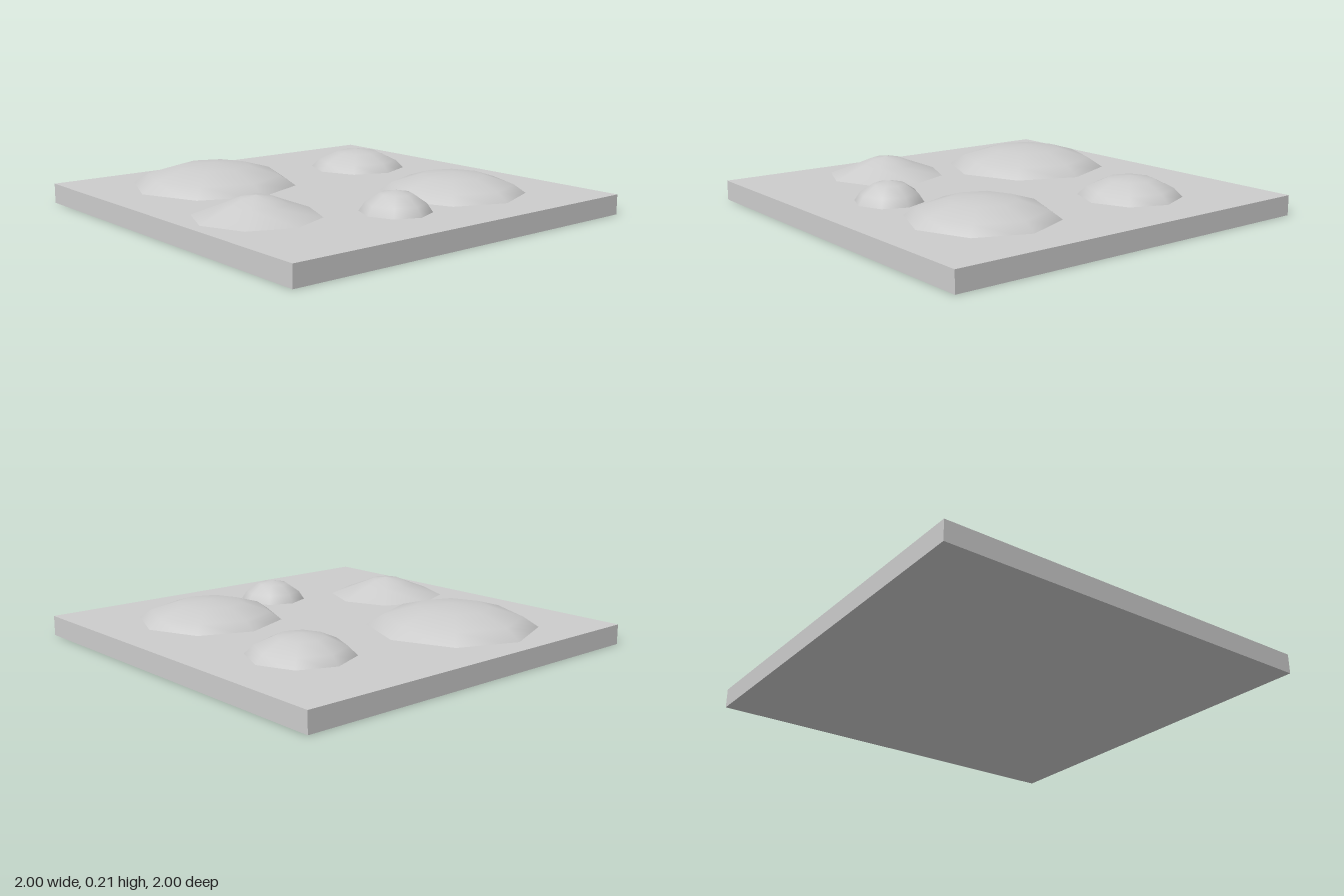
import * as THREE from 'three';

export function createModel() {
  const model = new THREE.Group();
  const stone = new THREE.MeshStandardMaterial({ color: 0xcccccc });
  stone.name = 'pale grey';

  const add = (name, geometry, x, y, z) => {
    const mesh = new THREE.Mesh(geometry, stone);
    mesh.name = name;
    mesh.position.set(x, y, z);
    model.add(mesh);
    return mesh;
  };

  // Square ground slab
  add('slab', new THREE.BoxGeometry(2, 0.1, 2), 0, 0.05, 0);

  // Eight-sided flattened domes, sunk into the slab: x, z, radius, height
  const domes = [
    ['largeDome', -0.475, 0.37, 0.485, 0.213],
    ['mediumDome', 0.435, -0.43, 0.425, 0.2],
    ['smallDome', -0.39, -0.525, 0.3, 0.2],
    ['tinyDome', 0.59, 0.095, 0.2, 0.2],
  ];
  const hemisphere = new THREE.SphereGeometry(1, 8, 4, 0, Math.PI * 2, 0, Math.PI / 2);
  for (const [name, x, z, radius, height] of domes) {
    add(name, hemisphere, x, 0, z).scale.set(radius, height, radius);
  }

  // Gently sloping mound that flares out onto the slab
  const profile = [[0.3, 0], [0.15, 0.057], [0.075, 0.087], [0, 0.097]]
    .map(([r, y]) => new THREE.Vector2(r, y));
  add('mound', new THREE.LatheGeometry(profile, 8), 0.265, 0.1, 0.637);

  return model;
}
